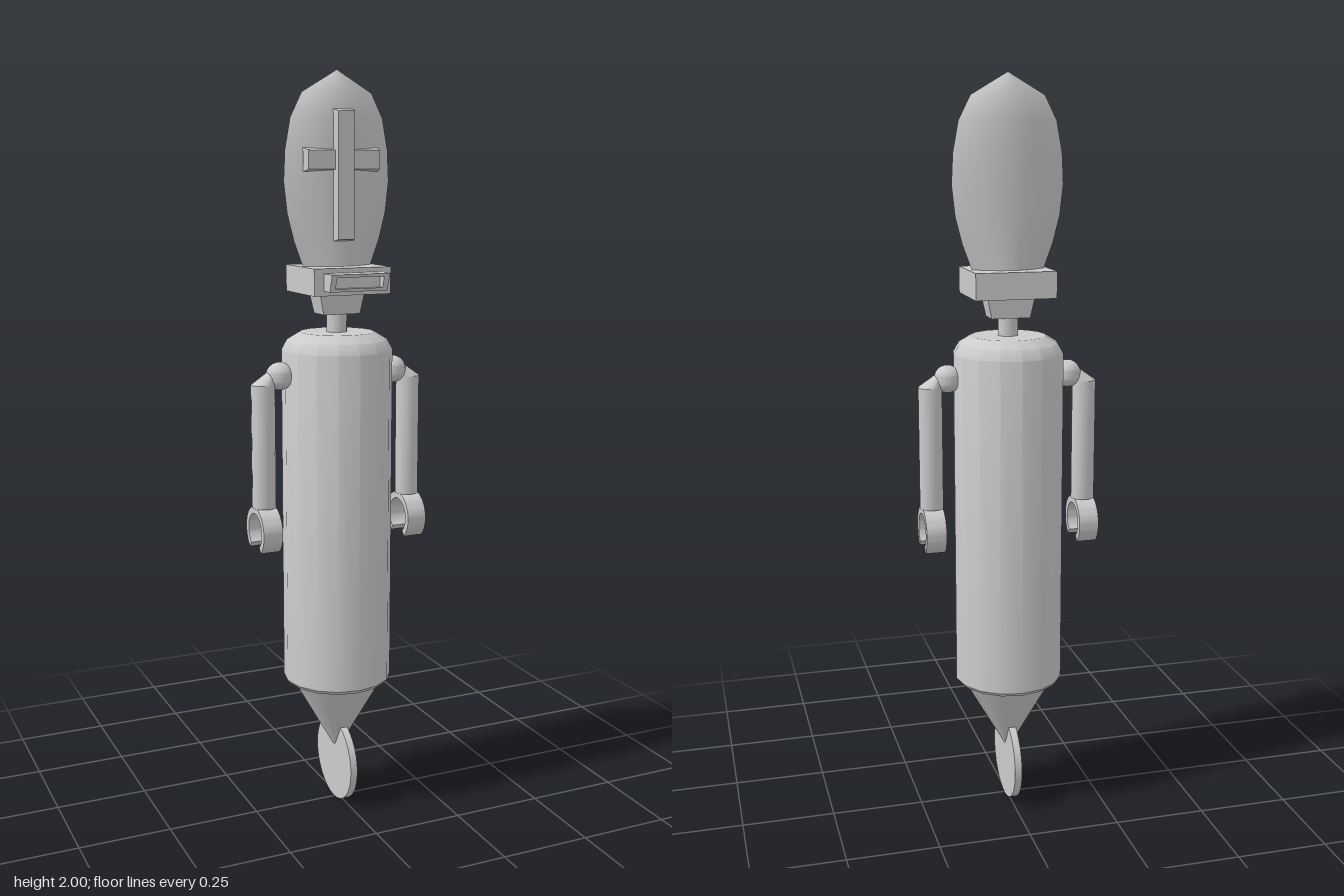
import * as THREE from 'three';
import { toCreasedNormals } from 'three/addons/utils/BufferGeometryUtils.js';

const material = new THREE.MeshStandardMaterial({ color: 0xcccccc });

function add(parent, name, geometry, x = 0, y = 0, z = 0, crease = 0.55) {
  const mesh = new THREE.Mesh(toCreasedNormals(geometry, crease), material);
  mesh.name = name;
  mesh.position.set(x, y, z);
  parent.add(mesh);
  return mesh;
}

// Move every vertex of a geometry by a rule
function reshape(geometry, rule) {
  const pos = geometry.attributes.position;
  const v = new THREE.Vector3();
  for (let i = 0; i < pos.count; i++) {
    rule(v.fromBufferAttribute(pos, i));
    pos.setXYZ(i, v.x, v.y, v.z);
  }
  return geometry;
}

const lathe = (points, sides) =>
  new THREE.LatheGeometry(points.map(([r, y]) => new THREE.Vector2(r, y)), sides);

// Box whose front face is inset by a bevel
const bevelFront = (w, h, d, inset) =>
  reshape(new THREE.BoxGeometry(w, h, d), (v) => {
    if (v.z > 0) {
      v.x -= Math.sign(v.x) * inset;
      v.y -= Math.sign(v.y) * inset;
    }
  });

function rectangle(Type, w, h) {
  const p = new Type();
  p.moveTo(-w, -h).lineTo(w, -h).lineTo(w, h).lineTo(-w, h).closePath();
  return p;
}

function makeArm(side) {
  const arm = new THREE.Group();
  arm.name = side > 0 ? 'leftArm' : 'rightArm';

  add(arm, 'shoulderBall', new THREE.SphereGeometry(0.037, 16, 12), side * 0.165, 1.22, 0);
  add(arm, 'armTube', new THREE.CylinderGeometry(0.032, 0.032, 0.33, 16), side * 0.212, 1.035, 0);
  // Slanted cone leaning in towards the shoulder
  const cone = reshape(new THREE.CylinderGeometry(0.006, 0.032, 0.045, 16), (v) => {
    if (v.y > 0) v.x -= side * 0.038;
  });
  add(arm, 'armTop', cone, side * 0.212, 1.2225, 0);

  // C-shaped gripper, open at the bottom
  const gap = 0.66, down = -Math.PI / 2;
  const claw = new THREE.Shape();
  claw.absarc(0, 0, 0.066, down + gap, down - gap + Math.PI * 2, false);
  claw.absarc(0, 0, 0.048, down - gap + Math.PI * 2, down + gap, true);
  claw.closePath();
  const grip = new THREE.ExtrudeGeometry(claw, { depth: 0.054, bevelEnabled: false, curveSegments: 16 });
  grip.translate(0, 0, -0.027).rotateY(Math.PI / 2);
  add(arm, 'gripper', grip, side * 0.212, 0.807, 0);
  return arm;
}

export function createModel() {
  const model = new THREE.Group();
  model.name = 'model';
  const figure = new THREE.Group();
  figure.name = 'figure';
  figure.position.set(-0.003, 0, -0.004);
  model.add(figure);

  // Wheel, cone and cylindrical body
  add(figure, 'wheel', new THREE.CylinderGeometry(0.117, 0.117, 0.02, 32).rotateZ(Math.PI / 2), 0, 0.117, 0);
  add(figure, 'lowerCone', lathe([[0, 0.138], [0.127, 0.362]], 16));
  add(figure, 'body', lathe([[0, 0.36], [0.14, 0.36], [0.148, 0.37], [0.148, 1.283],
    [0.133, 1.31], [0.1, 1.33], [0, 1.33]], 16));
  figure.add(makeArm(1), makeArm(-1));

  // Neck and jaw
  add(figure, 'neck', new THREE.CylinderGeometry(0.027, 0.027, 0.1, 16), 0, 1.36, 0);
  const jaw = reshape(new THREE.BoxGeometry(0.13, 0.06, 0.074), (v) => {
    if (v.y < 0) { v.x *= 0.8; v.z *= 0.88; }
  });
  add(figure, 'jaw', jaw, 0, 1.408, 0);

  // Head block and framed bill with a sloping front
  add(figure, 'head', new THREE.BoxGeometry(0.216, 0.07, 0.19), 0, 1.469, 0.006);
  const frame = rectangle(THREE.Shape, 0.081, 0.0225);
  frame.holes.push(rectangle(THREE.Path, 0.066, 0.0145));
  const bill = reshape(new THREE.ExtrudeGeometry(frame, { depth: 0.051, bevelEnabled: false }), (v) => {
    if (v.z > 0.01) v.z += (v.y - 0.0225) * 0.33;
  });
  add(figure, 'bill', bill, 0, 1.469, 0.101);
  add(figure, 'billInside', new THREE.BoxGeometry(0.14, 0.036, 0.025), 0, 1.469, 0.112);

  // Tall hat: lens-shaped cross-sections rising to a point
  const rows = [[0.096, 1.5], [0.122, 1.57], [0.14, 1.64], [0.149, 1.72], [0.145, 1.8],
    [0.13, 1.88], [0.098, 1.943], [0, 2]];
  const hat = reshape(lathe(rows, 28), (v) => {
    const row = rows.find(([, y]) => Math.abs(y - v.y) < 1e-4);
    const u = row[0] ? v.x / row[0] : 1;
    const depth = v.y > 1.9 ? 0.036 : 0.044;
    v.z = Math.sign(v.z) * depth * Math.max(0, 1 - u * u);
  });
  add(figure, 'hat', hat);

  // Bevelled cross on the hat front
  add(figure, 'crossUpright', bevelFront(0.064, 0.34, 0.034, 0.009), 0, 1.735, 0.043);
  add(figure, 'crossBar', bevelFront(0.212, 0.06, 0.024, 0.006), 0, 1.775, 0.037);
  return model;
}
